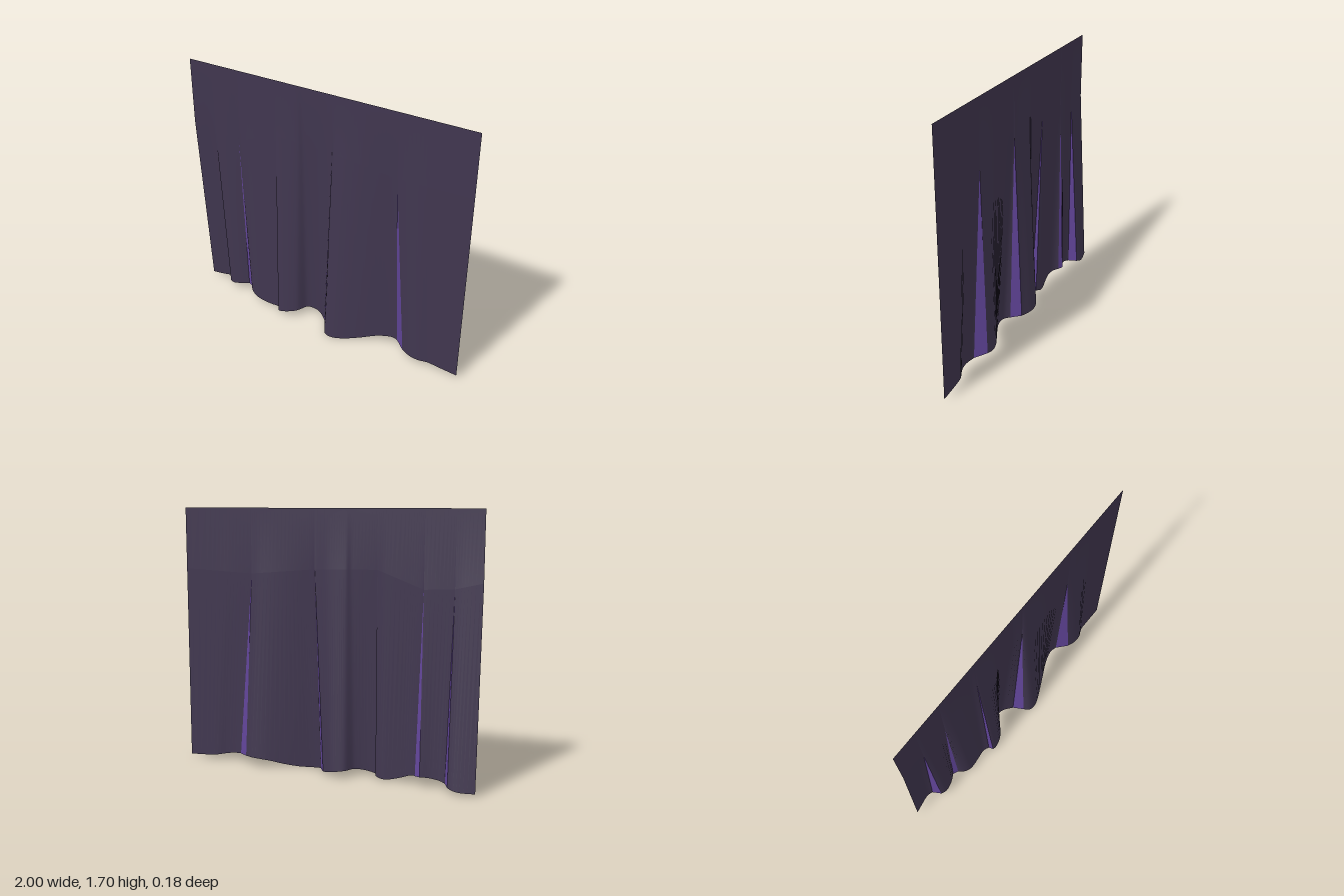
import * as THREE from 'three';

const cloth = new THREE.MeshStandardMaterial({ color: 0x40364f, side: THREE.DoubleSide });
cloth.name = 'dark cloth';
const lining = new THREE.MeshStandardMaterial({ color: 0x62459a, side: THREE.DoubleSide });
lining.name = 'purple pleat';

const TOP = 1.7;

// pleated panels between the purple pleats: hem points as [x, z]
const panels = [
  [[-1, -0.07], [-0.93, -0.083], [-0.87, -0.09], [-0.83, -0.075]],
  [[-0.8, -0.02], [-0.76, -0.003], [-0.7, -0.012], [-0.645, -0.038]],
  [[-0.61, -0.022], [-0.59, 0.003], [-0.55, 0.025], [-0.5, 0.027], [-0.42, 0.015], [-0.37, 0.012], [-0.335, 0.03]],
  [[-0.325, 0.06], [-0.3, 0.066], [-0.25, 0.057], [-0.2, 0.03], [-0.18, 0], [-0.16, -0.045], [-0.13, -0.063], [-0.09, -0.068], [-0.05, -0.058], [0.005, -0.02]],
  [[0.045, 0.045], [0.07, 0.08], [0.11, 0.09], [0.16, 0.08], [0.24, 0.045], [0.33, 0.002], [0.42, -0.04], [0.5, -0.06], [0.55, -0.048]],
  [[0.62, 0.01], [0.68, 0.03], [0.74, 0.027], [0.8, 0.003], [0.88, 0], [1, 0]],
];

// where each pleat starts fanning out: [x, y], with the sheet's ends
const apexes = [[-1, 1.27], [-0.83, 1.23], [-0.64, 1.22], [-0.345, 1.33], [0.07, 1.32], [0.515, 1.28], [1, 1.3]];

// wavy height of the hem
const hemWave = new THREE.SplineCurve([
  [-1, 0.02], [-0.9, 0.022], [-0.8, 0.045], [-0.65, 0.07], [-0.58, 0.06], [-0.5, 0.03], [-0.4, 0.01],
  [-0.3, 0.03], [-0.18, 0.052], [-0.1, 0.045], [0, 0.022], [0.1, 0.004], [0.2, 0.006], [0.3, 0.025],
  [0.4, 0.052], [0.53, 0.07], [0.62, 0.062], [0.72, 0.048], [0.82, 0.032], [0.92, 0.024], [1, 0.02],
].map(([x, y]) => new THREE.Vector2(x, y))).getPoints(200);

function hemY(x) {
  const i = Math.max(1, hemWave.findIndex((p) => p.x >= x - 1e-6));
  const a = hemWave[i - 1], b = hemWave[i];
  return THREE.MathUtils.mapLinear(x, a.x, b.x, a.y, b.y);
}

function makeMesh(name, positions, index, material) {
  const g = new THREE.BufferGeometry();
  g.setAttribute('position', new THREE.Float32BufferAttribute(positions, 3));
  g.setIndex(index);
  g.computeVertexNormals();
  const mesh = new THREE.Mesh(g, material);
  mesh.name = name;
  return mesh;
}

export function createModel() {
  const group = new THREE.Group();
  group.name = 'curtain';

  panels.forEach((points, k) => {
    // cloth panel: three rows, flat from the top to the fan line, then out to the hem
    const curve = new THREE.SplineCurve(points.map(([x, z]) => new THREE.Vector2(x, z)));
    const hem = curve.getPoints((points.length - 1) * 3);
    const [a, b] = [apexes[k], apexes[k + 1]];
    const first = hem[0].x, last = hem[hem.length - 1].x;
    const positions = [], index = [];
    hem.forEach((p, i) => {
      const t = (p.x - first) / (last - first);
      const x = THREE.MathUtils.lerp(a[0], b[0], t);
      const y = THREE.MathUtils.lerp(a[1], b[1], t);
      positions.push(x, TOP, 0, x, y, 0, p.x, hemY(p.x), p.y);
      if (i === 0) return;
      for (let r = 0; r < 2; r++) {
        const l = (i - 1) * 3 + r, q = i * 3 + r;
        index.push(l, l + 1, q + 1, l, q + 1, q);
      }
    });
    group.add(makeMesh('clothPanel' + (k + 1), positions, index, cloth));

    // purple wedge joining this panel to the next
    if (k === panels.length - 1) return;
    const [x0, z0] = points[points.length - 1];
    const [x1, z1] = panels[k + 1][0];
    group.add(makeMesh('purplePleat' + (k + 1),
      [b[0], b[1], 0, x0, hemY(x0), z0, x1, hemY(x1), z1], [0, 1, 2], lining));
  });
  return group;
}
